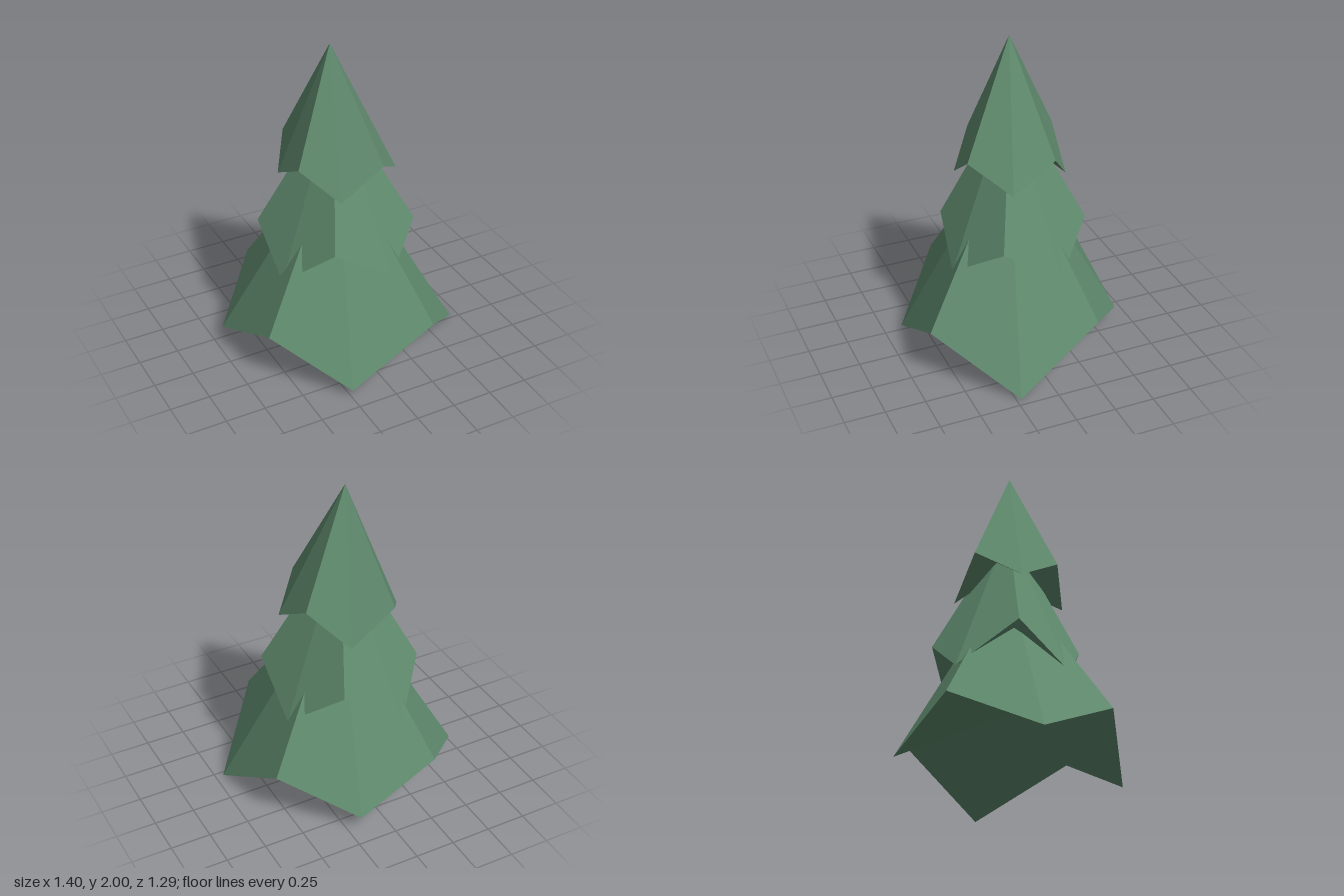
import * as THREE from 'three';

// Each tier: apex, raised underside centre, and an eight-point rim
// alternating between high corners and drooping tips.
const TIERS = [
  {
    name: 'lowerFoliage', apex: [-0.015, 1.33, 0], hollow: [-0.015, 0.43, 0],
    rim: [
      [0.31, 0.335, 0.64], [0.70, 0, 0.22], [0.585, 0.33, -0.33], [0.18, 0.10, -0.65],
      [-0.34, 0.33, -0.62], [-0.70, 0.10, -0.225], [-0.62, 0.335, 0.30], [-0.24, 0.04, 0.645],
    ],
  },
  {
    name: 'middleFoliage', apex: [-0.02, 1.66, -0.01], hollow: [-0.016, 0.91, -0.01],
    rim: [
      [-0.215, 0.83, 0.37], [0.14, 0.62, 0.43], [0.41, 0.83, 0.21], [0.42, 0.585, -0.16],
      [0.175, 0.83, -0.42], [-0.19, 0.57, -0.475], [-0.44, 0.83, -0.21], [-0.445, 0.58, 0.13],
    ],
  },
  {
    name: 'upperFoliage', apex: [-0.045, 2, -0.015], hollow: [-0.025, 1.385, -0.015],
    rim: [
      [0.13, 1.32, 0.32], [0.33, 1.16, 0.115], [0.29, 1.32, -0.165], [0.08, 1.10, -0.33],
      [-0.19, 1.32, -0.355], [-0.34, 1.18, -0.12], [-0.33, 1.32, 0.14], [-0.14, 1.135, 0.305],
    ],
  },
];

// Faceted cone: one fan up to the apex, one fan into the hollow underside.
function tierGeometry({ apex, hollow, rim }) {
  const points = [];
  rim.forEach((a, i) => {
    const b = rim[(i + 1) % rim.length];
    points.push(...a, ...b, ...apex);
    points.push(...b, ...a, ...hollow);
  });
  const geometry = new THREE.BufferGeometry();
  geometry.setAttribute('position', new THREE.Float32BufferAttribute(points, 3));
  geometry.computeVertexNormals();
  return geometry;
}

export function createModel() {
  const model = new THREE.Group();
  model.name = 'pineTree';
  const needles = new THREE.MeshStandardMaterial({ color: 0x5f8a6d, flatShading: true });
  needles.name = 'pineGreen';
  for (const tier of TIERS) {
    const mesh = new THREE.Mesh(tierGeometry(tier), needles);
    mesh.name = tier.name;
    model.add(mesh);
  }
  return model;
}
